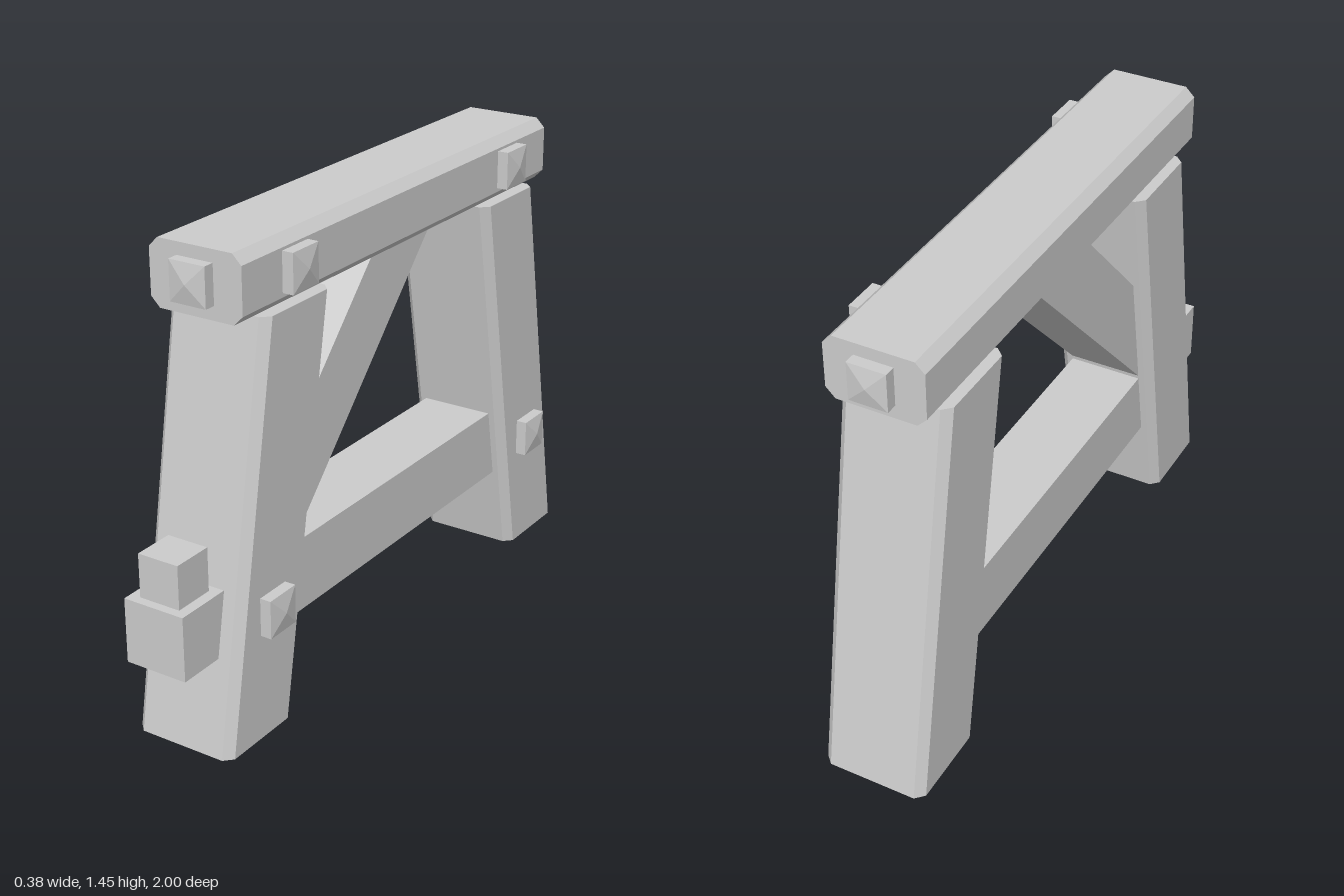
import * as THREE from 'three';

const wood = new THREE.MeshStandardMaterial({ color: 0xcccccc });
wood.name = 'plain grey';

const CX = -0.026; // centre line of the timbers

function add(parent, name, geometry) {
  const flat = geometry.index ? geometry.toNonIndexed() : geometry;
  flat.computeVertexNormals();
  const mesh = new THREE.Mesh(flat, wood);
  mesh.name = name;
  parent.add(mesh);
  return mesh;
}

// Box given by its minimum and maximum corners
function block(parent, name, [x0, y0, z0], [x1, y1, z1]) {
  const g = new THREE.BoxGeometry(x1 - x0, y1 - y0, z1 - z0);
  g.translate((x0 + x1) / 2, (y0 + y1) / 2, (z0 + z1) / 2);
  return add(parent, name, g);
}

// Rectangle with cut corners, extruded along z
function chamferedBar(w, h, c, length) {
  const a = w / 2, b = h / 2;
  const points = [
    [-a + c, -b], [a - c, -b], [a, -b + c], [a, b - c],
    [a - c, b], [-a + c, b], [-a, b - c], [-a, -b + c],
  ].map(([x, y]) => new THREE.Vector2(x, y));
  return new THREE.ExtrudeGeometry(new THREE.Shape(points), { depth: length, bevelEnabled: false });
}

// Leg leaning with height: cross-section slides along z
function leg(parent, name, zBottom, zTop) {
  const height = 1.25;
  const g = chamferedBar(0.332, 0.306, 0.026, height);
  g.rotateX(-Math.PI / 2);
  const p = g.attributes.position;
  for (let i = 0; i < p.count; i++) {
    p.setXYZ(i, p.getX(i) + CX, p.getY(i), p.getZ(i) + zBottom + (zTop - zBottom) * p.getY(i) / height);
  }
  add(parent, name, g);
}

// Square peg head with a low pyramid on top, pointing along local +z
function pegHead(parent, name, x, y, z, turn) {
  const size = 0.118, base = 0.035, tip = 0.012;
  const group = new THREE.Group();
  group.name = name;
  const head = new THREE.BoxGeometry(size, size, base + 0.01);
  head.translate(0, 0, (base - 0.01) / 2);
  add(group, 'pegBlock', head);
  const point = new THREE.ConeGeometry(size / Math.SQRT2, tip, 4, 1, true);
  point.rotateY(Math.PI / 4);
  point.rotateX(Math.PI / 2);
  point.translate(0, 0, base + tip / 2);
  add(group, 'pegPoint', point);
  group.position.set(x, y, z);
  group.rotation.y = turn;
  parent.add(group);
}

export function createModel() {
  const model = new THREE.Group();
  model.name = 'trestle';

  // Top beam
  const beam = chamferedBar(0.302, 0.197, 0.029, 1.625);
  beam.translate(CX, 1.348, -0.858);
  add(model, 'topBeam', beam);

  // Splayed legs
  leg(model, 'frontLeg', 0.75, 0.53);
  leg(model, 'backLeg', -0.842, -0.622);

  // Lower stretcher, its through tenon and the locking wedge
  block(model, 'stretcher', [CX - 0.12, 0.277, -0.7], [CX + 0.12, 0.505, 0.62]);
  block(model, 'tenon', [CX - 0.1, 0.29, 0.6], [CX + 0.1, 0.488, 1.0]);
  block(model, 'wedge', [CX - 0.067, 0.48, 0.842], [CX + 0.067, 0.622, 0.972]);

  // Diagonal brace from front leg up to the beam, drawn in the side plane
  const side = [[0.11, 1.252], [0.5, 0.844], [0.6, 0.42], [-0.2, 1.252]];
  const brace = new THREE.ExtrudeGeometry(
    new THREE.Shape(side.map(([z, y]) => new THREE.Vector2(-z, y))),
    { depth: 0.24, bevelEnabled: false });
  brace.rotateY(Math.PI / 2);
  brace.translate(CX - 0.12, 0, 0);
  add(model, 'brace', brace);

  // Peg heads on the beam ends, beam side and leg sides
  pegHead(model, 'frontEndPeg', CX, 1.35, 0.767, 0);
  pegHead(model, 'backEndPeg', CX, 1.35, -0.858, Math.PI);
  for (const z of [0.53, -0.618]) pegHead(model, 'beamSidePeg', 0.125, 1.35, z, Math.PI / 2);
  for (const z of [0.683, -0.773]) pegHead(model, 'legSidePeg', 0.14, 0.389, z, Math.PI / 2);

  return model;
}
